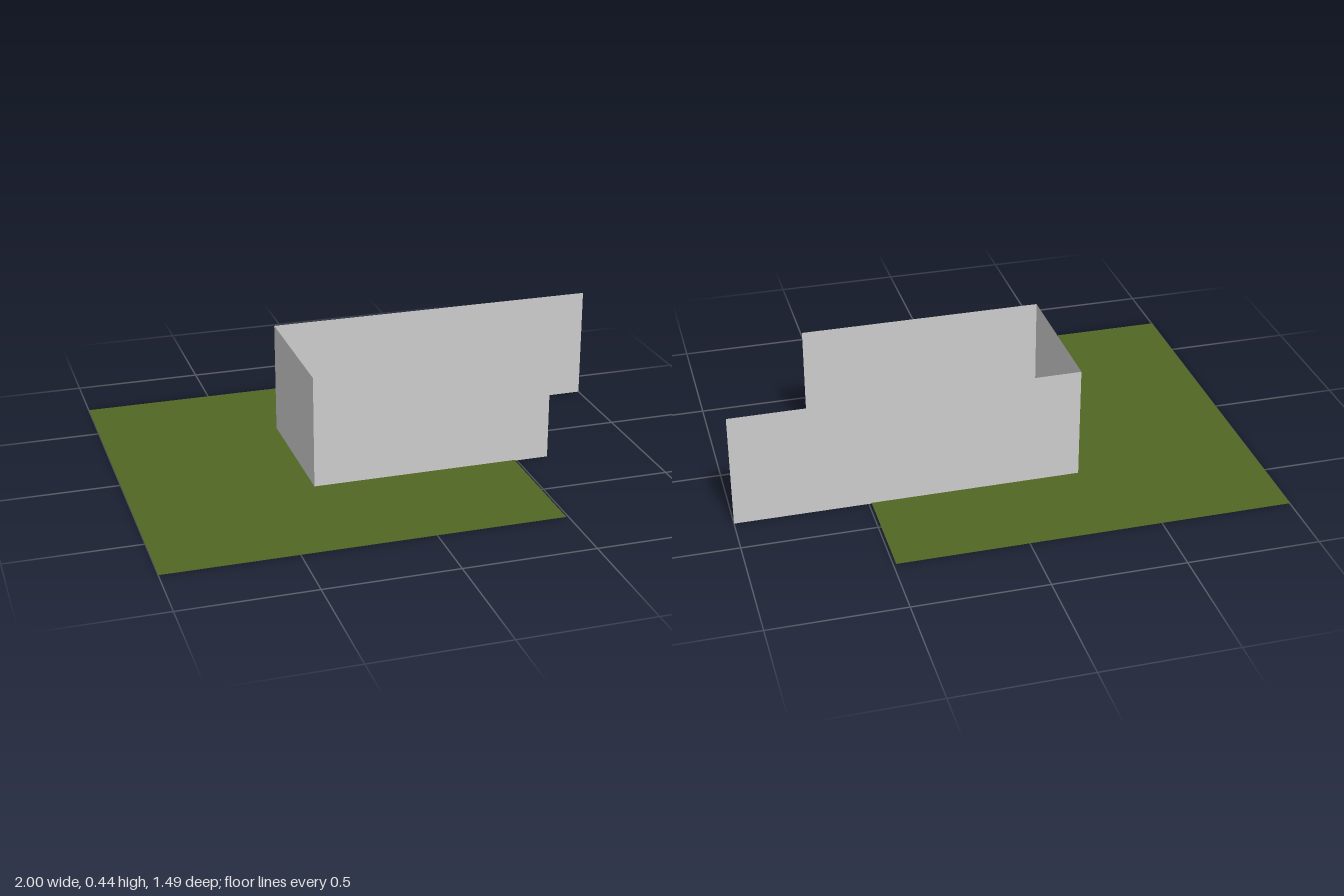
import * as THREE from 'three';
import { RoundedBoxGeometry } from 'three/addons/geometries/RoundedBoxGeometry.js';

const material = (color) => new THREE.MeshStandardMaterial({ color, side: THREE.DoubleSide });
const GREY = material(0xcccccc);
const GRASS = material(0x516623);
const PURPLE = material(0x6824e4);
const WOOD = material(0x382b25);
const GREEN = material(0x0f5a1c);
const LIME = material(0x12d224);
const ORANGE = material(0xc8641a);
const RUST = material(0x9a4512);
const PINK = material(0xdc1450);

function add(parent, name, geometry, mat, x = 0, y = 0, z = 0) {
  const mesh = new THREE.Mesh(geometry, mat);
  mesh.name = name;
  mesh.position.set(x, y, z);
  parent.add(mesh);
  return mesh;
}

// Box given by its limits on each axis
function box(parent, name, mat, [x0, x1], [y0, y1], [z0, z1]) {
  return add(parent, name, new THREE.BoxGeometry(x1 - x0, y1 - y0, z1 - z0), mat,
    (x0 + x1) / 2, (y0 + y1) / 2, (z0 + z1) / 2);
}

function group(parent, name, x = 0, y = 0, z = 0) {
  const g = new THREE.Group();
  g.name = name;
  g.position.set(x, y, z);
  parent.add(g);
  return g;
}

function buildRoom(root) {
  const room = group(root, 'room');
  add(room, 'ground', new THREE.PlaneGeometry(1.49, 1.49), GRASS, -0.255, 0.003, 0).rotation.x = -Math.PI / 2;

  // Three thin walls, open towards +x
  const h = 0.44;
  add(room, 'backWall', new THREE.PlaneGeometry(1.31, h), GREY, 0.345, h / 2, -0.34);
  add(room, 'frontWall', new THREE.PlaneGeometry(0.935, h), GREY, 0.1575, h / 2, 0.23);
  add(room, 'endWall', new THREE.PlaneGeometry(0.57, h), GREY, -0.31, h / 2, -0.055).rotation.y = Math.PI / 2;
}

function buildBed(root) {
  const bed = group(root, 'bed', 0.04, 0, -0.283);
  for (const s of [-1, 1]) {
    for (const t of [-1, 1]) {
      add(bed, 'bedLeg', new THREE.BoxGeometry(0.055, 0.076, 0.02), WOOD, s * 0.142, 0.038, t * 0.046);
    }
    // Two cross rails at head and foot, and a rail along each side
    add(bed, 'upperEndRail', new THREE.BoxGeometry(0.02, 0.021, 0.09), WOOD, s * 0.158, 0.0655, 0);
    add(bed, 'lowerEndRail', new THREE.BoxGeometry(0.02, 0.016, 0.09), WOOD, s * 0.158, 0.028, 0);
    add(bed, 'sideRail', new THREE.BoxGeometry(0.3, 0.021, 0.018), WOOD, 0, 0.0655, s * 0.046);
  }
  add(bed, 'mattress', new THREE.BoxGeometry(0.338, 0.016, 0.106), GREY, 0, 0.077, 0);
  add(bed, 'pillow', new RoundedBoxGeometry(0.034, 0.014, 0.07, 3, 0.006), PURPLE, -0.145, 0.09, 0);

  // Blanket with sloped shoulders, drawn across the bed and run along it
  const section = new THREE.Shape([
    [-0.055, 0.076], [0.055, 0.076], [0.055, 0.09], [0.045, 0.096], [-0.045, 0.096], [-0.055, 0.09],
  ].map(([x, y]) => new THREE.Vector2(x, y)));
  const blanket = new THREE.ExtrudeGeometry(section, { depth: 0.286, bevelEnabled: false });
  blanket.rotateY(Math.PI / 2);
  add(bed, 'blanket', blanket, PURPLE, -0.116, 0, 0);
}

function buildDesk(root) {
  const desk = group(root, 'desk', -0.259, 0, -0.004);
  add(desk, 'deskTop', new THREE.BoxGeometry(0.096, 0.007, 0.2), GREEN, 0, 0.065, 0);

  // Turned legs, wider at the foot and the head
  const profile = [[0, 0], [0.008, 0], [0.008, 0.008], [0.006, 0.015], [0.006, 0.048], [0.009, 0.055], [0.009, 0.062]]
    .map(([r, y]) => new THREE.Vector2(r, y));
  for (const s of [-1, 1]) {
    for (const t of [-1, 1]) add(desk, 'deskLeg', new THREE.LatheGeometry(profile, 12), GREEN, s * 0.036, 0, t * 0.087);
  }

  // Screen panel on two small feet
  const screen = group(desk, 'screen', -0.012, 0, 0.008);
  add(screen, 'screenPanel', new THREE.PlaneGeometry(0.14, 0.048), GREY, 0, 0.1, 0).rotation.y = Math.PI / 2;
  for (const t of [-1, 1]) {
    add(screen, 'screenFoot', new THREE.BoxGeometry(0.018, 0.003, 0.006), GREEN, 0, 0.07, t * 0.032);
    add(screen, 'screenPost', new THREE.BoxGeometry(0.003, 0.01, 0.003), GREEN, 0, 0.073, t * 0.032);
  }

  add(desk, 'keyboard', new THREE.BoxGeometry(0.032, 0.003, 0.075), LIME, 0.027, 0.07, 0.019);
  add(desk, 'mousePad', new THREE.CylinderGeometry(0.021, 0.021, 0.002, 24), ORANGE, 0.027, 0.0695, -0.033);
}

function buildBin(root) {
  // Open box beside the desk
  const bin = group(root, 'bin');
  box(bin, 'binBase', RUST, [-0.295, -0.24], [0.003, 0.006], [-0.112, -0.085]);
  for (const x of [-0.295, -0.243]) box(bin, 'binSide', RUST, [x, x + 0.003], [0.003, 0.036], [-0.112, -0.085]);
  for (const z of [-0.112, -0.088]) box(bin, 'binFace', RUST, [-0.295, -0.24], [0.003, 0.036], [z, z + 0.003]);
}

function buildChair(root) {
  const chair = group(root, 'chair', -0.086, 0, 0.003);
  add(chair, 'seat', new THREE.BoxGeometry(0.042, 0.007, 0.042), PINK, 0, 0.04, 0);
  for (const t of [-1, 1]) {
    add(chair, 'frontLeg', new THREE.BoxGeometry(0.01, 0.038, 0.011), PINK, -0.016, 0.019, t * 0.0155);
    add(chair, 'backPost', new THREE.BoxGeometry(0.009, 0.085, 0.011), PINK, 0.018, 0.0425, t * 0.0155);
  }
  add(chair, 'backRail', new THREE.BoxGeometry(0.008, 0.016, 0.03), PINK, 0.018, 0.075, 0);
}

export function createModel() {
  const root = new THREE.Group();
  root.name = 'bedroom';
  for (const build of [buildRoom, buildBed, buildDesk, buildBin, buildChair]) build(root);
  return root;
}
